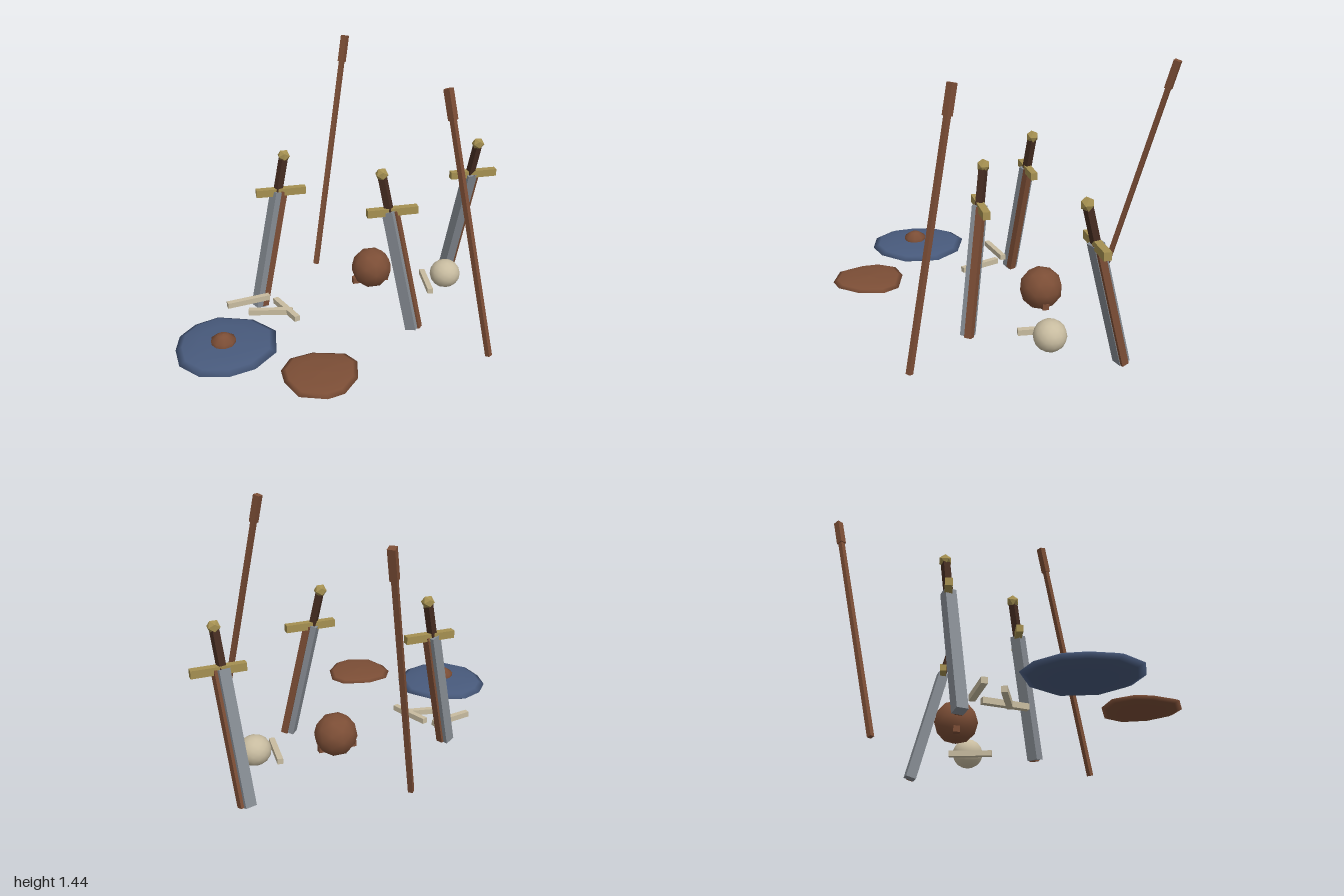
import * as THREE from 'three';

const mat = (name, color) => {
  const m = new THREE.MeshStandardMaterial({ color });
  m.name = name;
  return m;
};

export function createModel() {
  const steel = mat('steel', 0x868c93);
  const wood = mat('wood', 0x7c4e36);
  const grip = mat('darkLeather', 0x452c21);
  const brass = mat('brass', 0xa59051);
  const blue = mat('bluePaint', 0x485a7c);
  const bone = mat('bone', 0xc8bca0);

  const model = new THREE.Group();
  model.name = 'campRelics';
  const V = (a) => new THREE.Vector3(...a);

  const add = (parent, name, geo, material, pos = [0, 0, 0]) => {
    const mesh = new THREE.Mesh(geo, material);
    mesh.name = name;
    mesh.position.set(...pos);
    parent.add(mesh);
    return mesh;
  };

  // Square bar between two points, one pair of its sides kept level
  const beam = (parent, name, a, b, w, material) => {
    const d = b.clone().sub(a);
    const mid = a.clone().add(b).multiplyScalar(0.5);
    const mesh = add(parent, name, new THREE.BoxGeometry(w, d.length(), w), material, mid.toArray());
    d.normalize();
    const side = new THREE.Vector3().crossVectors(d, new THREE.Vector3(0, 1, 0)).normalize();
    const third = new THREE.Vector3().crossVectors(side, d);
    mesh.quaternion.setFromRotationMatrix(new THREE.Matrix4().makeBasis(side, d, third));
  };

  const group = (name) => {
    const g = new THREE.Group();
    g.name = name;
    model.add(g);
    return g;
  };

  // Three swords standing on their points: [tip, pommel]
  const swords = [
    [[-0.485, 0.012, -0.183], [-0.295, 0.918, -0.268]],
    [[0.33, 0.012, 0.27], [0.17, 0.918, 0.138]],
    [[0.785, 0.012, -0.437], [0.855, 0.918, -0.197]],
  ];
  const shift = new THREE.Vector3(0.03, 0, 0);
  for (const [t, p] of swords) {
    const g = group('sword');
    const tip = V(t), end = V(p);
    const hilt = tip.clone().lerp(end, 0.77);
    beam(g, 'blade', tip, hilt, 0.063, steel);
    beam(g, 'scabbardStrip', tip.clone().add(shift), hilt.clone().add(shift), 0.04, wood);
    beam(g, 'grip', hilt, tip.clone().lerp(end, 0.98), 0.038, grip);
    add(g, 'guard', new THREE.BoxGeometry(0.287, 0.043, 0.04), brass, [hilt.x + 0.018, 0.708, hilt.z]);
    add(g, 'pommel', new THREE.IcosahedronGeometry(0.037, 0), brass, p);
  }

  // Two leaning staffs with thicker heads
  const staffs = [
    [[-0.045, 0.012, -0.625], [0.22, 1.437, -0.918]],
    [[0.645, 0.012, 0.637], [0.446, 1.437, 0.352]],
  ];
  for (const [a, b] of staffs) {
    const g = group('staff');
    const neck = V(a).lerp(V(b), 0.89);
    beam(g, 'shaft', V(a), neck, 0.027, wood);
    beam(g, 'staffHead', neck, V(b), 0.038, wood);
  }

  // Flat lens from an uneven outline of [x, z] points, closed above and below
  const lens = (outline, cx, cz, half) => {
    const n = outline.length;
    const rings = [[0, -1], [0.55, -0.85], [0.87, -0.5], [1, 0], [0.87, 0.5], [0.55, 0.85], [0, 1]];
    const pos = [], idx = [];
    for (const [r, h] of rings)
      for (const [x, z] of outline) pos.push((x - cx) * r, h * half, (z - cz) * r);
    for (let i = 0; i < rings.length - 1; i++)
      for (let j = 0; j < n; j++) {
        const a = i * n + j, b = i * n + (j + 1) % n;
        if (i > 0) idx.push(a, b, a + n);
        if (i < rings.length - 2) idx.push(b, b + n, a + n);
      }
    // The top and bottom rings shrink to a point, so each keeps one fan of faces
    const geo = new THREE.BufferGeometry();
    geo.setAttribute('position', new THREE.Float32BufferAttribute(pos, 3));
    geo.setIndex(idx);
    geo.computeVertexNormals();
    return geo;
  };

  // Shields lying flat; outlines run anticlockwise as seen from above
  const large = [
    [-0.75, 0.07], [-0.88, 0.12], [-0.97, 0.22], [-1.0, 0.35], [-0.99, 0.5], [-0.9, 0.615],
    [-0.75, 0.652], [-0.615, 0.615], [-0.487, 0.49], [-0.457, 0.283], [-0.56, 0.14],
  ];
  const small = [
    [-0.305, 0.53], [-0.428, 0.556], [-0.492, 0.652], [-0.492, 0.754], [-0.444, 0.888],
    [-0.31, 0.938], [-0.22, 0.914], [-0.128, 0.807], [-0.094, 0.663], [-0.139, 0.578],
  ];
  const blueShield = group('largeShield');
  add(blueShield, 'shieldDisc', lens(large, -0.74, 0.36, 0.034), blue, [-0.74, 0.114, 0.36]);
  const dome = [[0.06, 0], [0.067, 0.045], [0.028, 0.072], [0, 0.077]].map(([r, y]) => new THREE.Vector2(r, y));
  add(blueShield, 'shieldBoss', new THREE.LatheGeometry(dome, 9), wood, [-0.75, 0.122, 0.382]);
  add(model, 'smallShield', lens(small, -0.3, 0.73, 0.024), wood, [-0.3, 0.109, 0.73]);

  // Round pack with a bar through its base
  const pack = group('pack');
  add(pack, 'packBody', new THREE.IcosahedronGeometry(0.122, 1), wood, [0.207, 0.183, -0.18]);
  beam(pack, 'packBar', V([0.09, 0.11, -0.18]), V([0.31, 0.11, -0.18]), 0.036, wood);

  // Skull and scattered bones
  add(model, 'skull', new THREE.IcosahedronGeometry(0.092, 2), bone, [0.649, 0.132, -0.095])
    .scale.set(1, 0.94, 0.97);
  const bones = [
    [[-0.68, -0.08], [-0.43, -0.125]],
    [[-0.57, 0.02], [-0.325, 0.07]],
    [[-0.4, -0.075], [-0.315, 0.16]],
    [[0.54, -0.21], [0.512, 0.04]],
  ];
  for (const [[ax, az], [bx, bz]] of bones)
    beam(model, 'bone', V([ax, 0.097, az]), V([bx, 0.097, bz]), 0.032, bone);

  return model;
}
